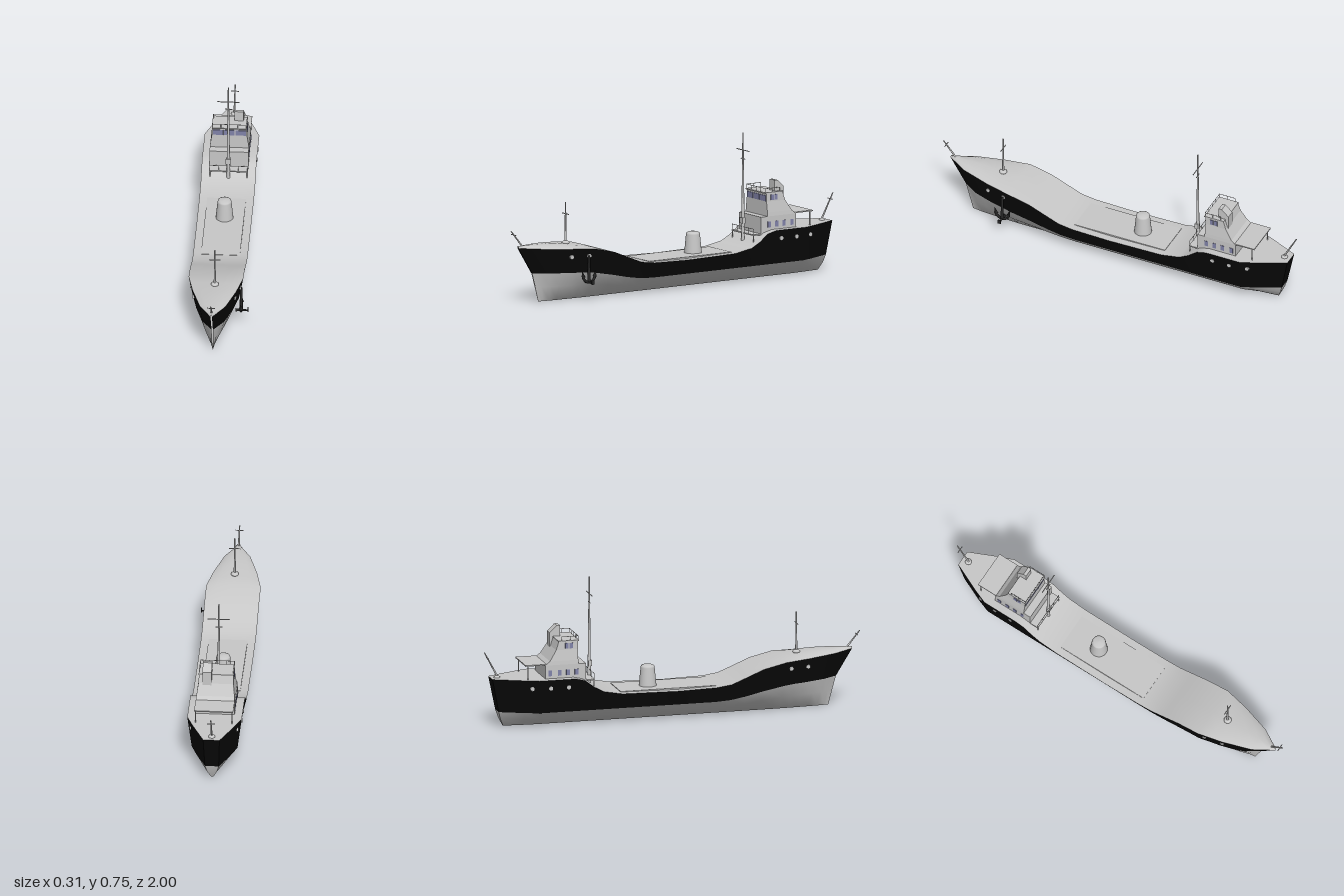
import * as THREE from 'three';

const mat = (name, color, double) => {
  const m = new THREE.MeshStandardMaterial({ color });
  m.name = name;
  if (double) m.side = THREE.DoubleSide;
  return m;
};

// Piecewise-linear lookup in a list of [z, value]
const sample = (table, z) => {
  if (z <= table[0][0]) return table[0][1];
  for (let i = 1; i < table.length; i++) {
    const [z0, a] = table[i - 1], [z1, b] = table[i];
    if (z <= z1) return a + (b - a) * (z - z0) / (z1 - z0);
  }
  return table[table.length - 1][1];
};

// Hull lines: plan half width, sheer, top of the lower hull, deck crown
const PLAN = [[-0.965, 0.042], [-0.82, 0.108], [-0.74, 0.14], [0.57, 0.14], [0.7, 0.112], [0.85, 0.066], [0.955, 0.004]];
const SHEER = [[-0.55, 0.255], [-0.5, 0.243], [-0.45, 0.205], [-0.4, 0.178], [-0.3, 0.16], [0, 0.155], [0.2, 0.16],
  [0.28, 0.171], [0.36, 0.203], [0.45, 0.24], [0.57, 0.268], [0.75, 0.277], [0.955, 0.288]];
const WATER = [[0.2, 0.08], [0.3, 0.086], [0.4, 0.107], [0.5, 0.131], [0.6, 0.145], [0.87, 0.15]];
const CROWN = [[0.45, 0], [0.57, 0.008], [0.75, 0.02], [0.955, 0.012]];
const STATIONS = [-0.965, -0.82, -0.74, -0.65, -0.55, -0.5, -0.45, -0.4, -0.3, -0.15, 0, 0.1, 0.2, 0.28,
  0.36, 0.45, 0.57, 0.64, 0.7, 0.78, 0.85, 0.91, 0.955];

// Rows from deck edge to keel: width factor, bow rake, stern rake
const ROWS = [
  { f: 1, bow: 0, stern: 0 }, { f: 0.84, bow: 0.085, stern: 0.035 },
  { f: 0.6, bow: 0.105, stern: 0.046 }, { f: 0.14, bow: 0.125, stern: 0.065 },
];
const hullPoint = (z, row, side) => {
  const r = ROWS[row], water = sample(WATER, z);
  const y = [sample(SHEER, z), water, water * 0.52, 0][row];
  const b = Math.max(0, (z - 0.4) / 0.555), s = Math.max(0, (-z - 0.6) / 0.365);
  return [side * sample(PLAN, z) * r.f, y, z - r.bow * b * b + r.stern * s * s];
};
const hullX = (z, y) => {
  const w = sample(WATER, z), t = (y - w) / (sample(SHEER, z) - w);
  return sample(PLAN, z) * (0.84 + 0.16 * t);
};

// Surface through a grid of points
function gridGeometry(grid, flat) {
  const n = grid[0].length, index = [];
  for (let i = 0; i < grid.length - 1; i++) for (let j = 0; j < n - 1; j++) {
    const a = i * n + j, b = a + n;
    index.push(a, b, a + 1, b, b + 1, a + 1);
  }
  let g = new THREE.BufferGeometry();
  g.setAttribute('position', new THREE.Float32BufferAttribute(grid.flat(2), 3));
  g.setIndex(index);
  if (flat) g = g.toNonIndexed();
  g.computeVertexNormals();
  return g;
}

// Stack of rectangles [y, halfWidth, zFront, zBack], closed at the top
function stackGeometry(sections) {
  const ring = ([y, w, f, b]) => [[w, y, f], [w, y, b], [-w, y, b], [-w, y, f], [w, y, f]];
  const rows = sections.map(ring);
  const [y, , f, b] = sections[sections.length - 1];
  rows.push(ring([y, 0, (f + b) / 2, (f + b) / 2]));
  return gridGeometry(rows, true);
}

export function createModel() {
  const grey = mat('light grey paint', 0xc8c8c8, true);
  const black = mat('black hull paint', 0x080808, true);
  const glass = mat('window glass', 0x8082a8);
  const iron = mat('dark iron', 0x262626);

  const model = new THREE.Group(), ship = new THREE.Group();
  model.name = 'cargoShip';
  ship.name = 'ship';
  ship.position.x = -0.015;
  model.add(ship);

  const add = (name, geo, m, x = 0, y = 0, z = 0, parent = ship) => {
    const mesh = new THREE.Mesh(geo, m);
    mesh.name = name;
    mesh.position.set(x, y, z);
    parent.add(mesh);
    return mesh;
  };
  const box = (name, m, w, h, d, x, y, z) => add(name, new THREE.BoxGeometry(w, h, d), m, x, y, z);
  const rod = (name, a, b, r0, r1 = r0, m = grey, sides = 8) => {
    const p = new THREE.Vector3(...a), q = new THREE.Vector3(...b), d = q.clone().sub(p);
    const mesh = add(name, new THREE.CylinderGeometry(r1, r0, d.length(), sides), m);
    mesh.position.copy(p).add(q).multiplyScalar(0.5);
    mesh.quaternion.setFromUnitVectors(new THREE.Vector3(0, 1, 0), d.normalize());
    return mesh;
  };

  // Hull
  for (const side of [1, -1]) {
    const order = side > 0 ? [0, 1] : [1, 0];
    add('hullBand', gridGeometry(STATIONS.map(z => order.map(r => hullPoint(z, r, side)))), black);
  }
  const lower = [[1, 1], [2, 1], [3, 1], [3, -1], [2, -1], [1, -1]];
  add('lowerHull', gridGeometry(STATIONS.map(z => lower.map(([r, s]) => hullPoint(z, r, s)))), grey);
  const transom = rows => gridGeometry(rows.map(r => [hullPoint(-0.965, r, 1), hullPoint(-0.965, r, -1)]));
  add('transomBand', transom([0, 1]), black);
  add('lowerTransom', transom([1, 2, 3]), grey);

  // Crowned deck and cargo hatch
  const across = [[-1, 0], [-0.6, 0.85], [0, 1], [0.6, 0.85], [1, 0]];
  add('deck', gridGeometry(STATIONS.map(z => across.map(([u, c]) =>
    [u * sample(PLAN, z), sample(SHEER, z) + c * sample(CROWN, z), z]))), grey);
  box('cargoHatch', grey, 0.2, 0.012, 0.51, 0, 0.157, -0.045);

  // Deck funnel
  const funnel = [[0.046, 0.155], [0.036, 0.258], [0.034, 0.266], [0.025, 0.271], [0, 0.273]];
  add('deckFunnel', new THREE.LatheGeometry(funnel.map(p => new THREE.Vector2(...p)), 24), grey, 0, 0, -0.13);

  // Deckhouse and wheelhouse
  add('deckhouse', stackGeometry([[0.16, 0.1, -0.485, -0.7], [0.325, 0.1, -0.485, -0.7]]), grey);
  add('wheelhouse', stackGeometry([[0.325, 0.1, -0.525, -0.7], [0.345, 0.098, -0.525, -0.675],
    [0.4, 0.09, -0.525, -0.64], [0.445, 0.088, -0.525, -0.625]]), grey);
  box('wheelhouseRoof', grey, 0.18, 0.006, 0.11, 0, 0.444, -0.573);
  for (const x of [-0.058, 0, 0.058]) box('frontWindow', glass, 0.053, 0.03, 0.004, x, 0.417, -0.524);
  for (const s of [1, -1]) {
    for (const z of [-0.56, -0.583]) box('wheelhouseSideWindow', glass, 0.004, 0.028, 0.018, s * 0.0895, 0.42, z);
    for (const z of [-0.535, -0.58, -0.625, -0.675]) box('deckhouseWindow', glass, 0.004, 0.03, 0.019, s * 0.1, 0.283, z);
  }

  // Sloped exhaust casing
  const casing = new THREE.Shape([[0.59, 0.44], [0.645, 0.39], [0.645, 0.467], [0.607, 0.503], [0.59, 0.503]]
    .map(p => new THREE.Vector2(...p)));
  const casingMesh = add('exhaustCasing', new THREE.ExtrudeGeometry(casing, { depth: 0.047, bevelEnabled: false }), grey, 0.022, 0, 0);
  casingMesh.rotation.y = Math.PI / 2;

  // Railings: posts with a top rail along a path of [x, z]
  const railing = (name, path, y, h) => {
    path.forEach(([x, z], i) => {
      rod(name + 'Post', [x, y, z], [x, y + h, z], 0.0015, 0.0015, grey, 6);
      if (i) rod(name + 'Bar', [path[i - 1][0], y + h, path[i - 1][1]], [x, y + h, z], 0.0015, 0.0015, grey, 6);
    });
  };
  railing('roofRail', [[-0.087, -0.61], [-0.087, -0.565], [-0.087, -0.522], [-0.043, -0.522], [0, -0.522],
    [0.043, -0.522], [0.087, -0.522], [0.087, -0.565], [0.087, -0.61]], 0.447, 0.021);

  // Fore platform below the bridge
  box('forePlatform', grey, 0.2, 0.006, 0.05, 0, 0.235, -0.462);
  railing('platformRail', [[-0.098, -0.44], [-0.05, -0.44], [0.05, -0.44], [0.098, -0.44]], 0.237, 0.03);
  for (const s of [1, -1]) {
    rod('platformPost', [s * 0.095, 0.17, -0.44], [s * 0.095, 0.235, -0.44], 0.003);
    rod('awningPost', [s * 0.094, 0.255, -0.79], [s * 0.094, 0.33, -0.79], 0.003);
  }
  box('aftAwning', grey, 0.2, 0.006, 0.11, 0, 0.329, -0.75);

  // Masts and their crossbars
  const crossbar = (y, z, half) => rod('crossbar', [-half, y, z], [half, y, z], 0.0025);
  rod('mainMast', [0, 0.17, -0.44], [0, 0.5, -0.44], 0.0095, 0.006, grey, 12);
  rod('mainTopmast', [0, 0.5, -0.44], [0, 0.755, -0.44], 0.006, 0.003, grey, 12);
  crossbar(0.665, -0.44, 0.057);
  crossbar(0.62, -0.44, 0.018);
  box('mastWinch', grey, 0.026, 0.03, 0.018, 0, 0.3, -0.437);
  rod('foreMast', [0, 0.285, 0.66], [0, 0.5, 0.66], 0.006, 0.003, grey, 12);
  crossbar(0.44, 0.66, 0.03);
  rod('bowPole', [0, 0.298, 0.93], [0, 0.38, 0.997], 0.005, 0.003);
  crossbar(0.36, 0.981, 0.02);
  rod('sternPole', [0, 0.255, -0.925], [0, 0.39, -0.997], 0.005, 0.003);
  crossbar(0.36, -0.981, 0.02);
  for (const [y, z, r] of [[0.29, 0.66, 0.02], [0.256, -0.93, 0.017]]) {
    add('mastFoot', new THREE.SphereGeometry(r, 16, 10), grey, 0, y, z).scale.y = 0.55;
  }

  // Hull portholes
  for (const s of [1, -1]) {
    for (const [z, y] of [[0.695, 0.232], [0.6, 0.232], [-0.585, 0.212], [-0.68, 0.212], [-0.775, 0.212]]) {
      const port = add('porthole', new THREE.CylinderGeometry(0.011, 0.011, 0.009, 16), grey, s * hullX(z, y), y, z);
      port.rotation.z = Math.PI / 2;
    }
  }

  // Anchor on the left bow
  const ax = 0.132, az = 0.604;
  rod('anchorShank', [ax, 0.1, az], [ax, 0.235, az], 0.009, 0.006, iron);
  const arms = add('anchorArms', new THREE.TorusGeometry(0.038, 0.007, 8, 20, Math.PI), iron, ax, 0.135, az);
  arms.rotation.set(Math.PI, Math.PI / 2, 0);
  rod('anchorStock', [0.103, 0.096, az], [0.166, 0.096, az], 0.008, 0.004, iron);
  box('anchorStockEnd', iron, 0.005, 0.022, 0.016, 0.1675, 0.1, az);
  for (const s of [1, -1]) {
    const fluke = add('anchorFluke', new THREE.ConeGeometry(0.012, 0.035, 4), iron, ax, 0.14, az + s * 0.038);
    fluke.rotation.x = s * 0.25;
  }
  return model;
}
